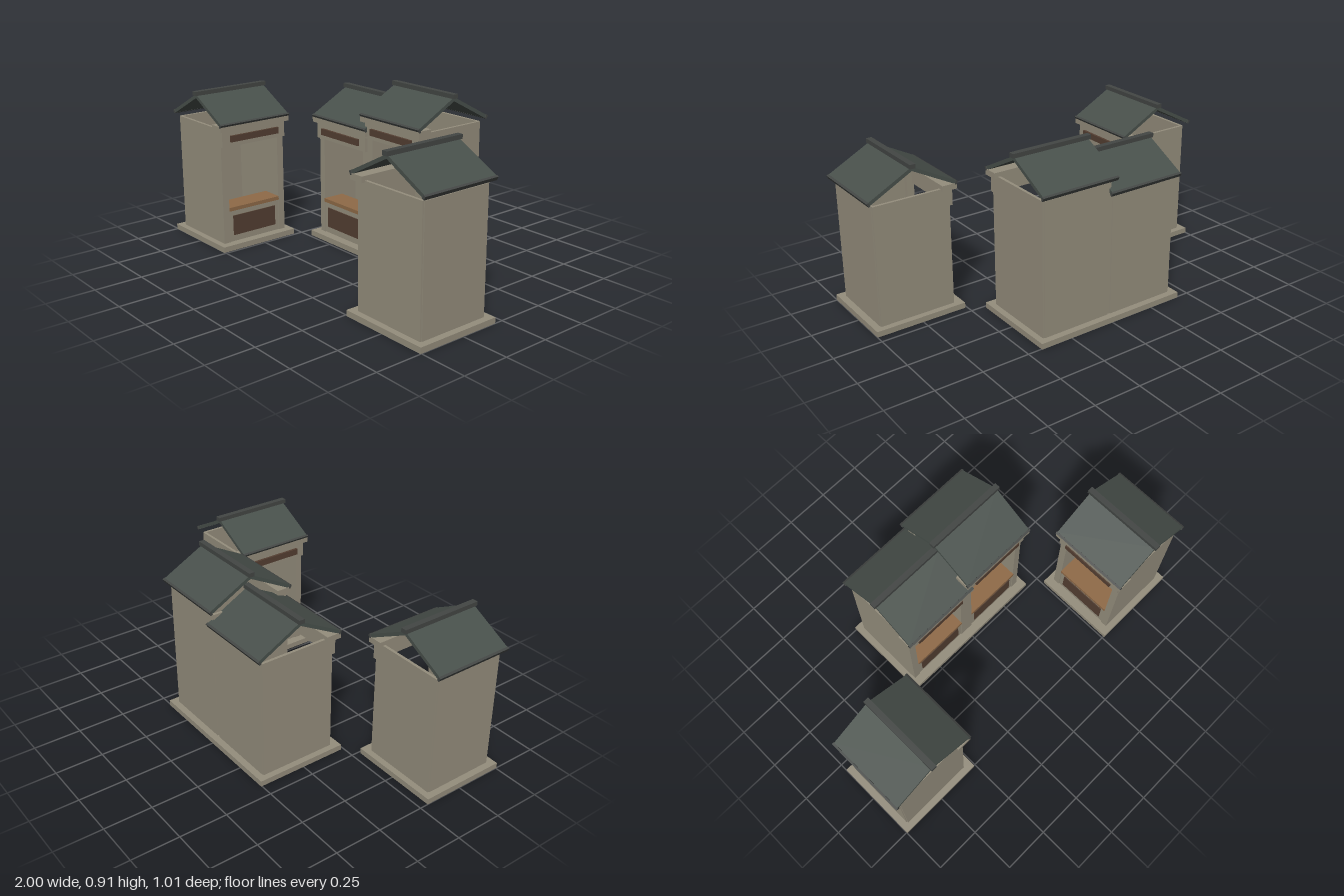
import * as THREE from 'three';

const mat = (name, color) => {
  const m = new THREE.MeshStandardMaterial({ color });
  m.name = name;
  return m;
};

export function createModel() {
  const stone = mat('stone', 0x958e7d);
  const slate = mat('slate', 0x48504b);
  const ridgeDark = mat('ridge dark', 0x434644);
  const wood = mat('wood', 0x8f6a47);
  const darkWood = mat('dark wood', 0x543f32);

  const model = new THREE.Group();
  model.name = 'marketStalls';

  // Box given by its width, centre x and its y and z ranges
  const box = (parent, name, material, w, x, [y0, y1], [z0, z1]) => {
    const mesh = new THREE.Mesh(new THREE.BoxGeometry(w, y1 - y0, z1 - z0), material);
    mesh.position.set(x, (y0 + y1) / 2, (z0 + z1) / 2);
    mesh.name = name;
    parent.add(mesh);
    return mesh;
  };

  // One stall facing +z, with its walls h high
  const stall = (h) => {
    const g = new THREE.Group();
    g.name = 'stall';
    const W = 0.395, B = 0.03;

    // Walls and front piers
    for (const s of [-1, 1]) {
      box(g, 'sideWall', stone, 0.015, s * (W / 2 - 0.0075), [B, h], [-0.205, 0.198]);
      box(g, 'frontPier', stone, 0.038, s * (W / 2 - 0.019), [B, h], [0.16, 0.2]);
    }
    box(g, 'backWall', stone, W - 0.016, 0, [B, h], [-0.21, -0.195]);

    // Counter with its front panel
    box(g, 'counterFront', stone, W - 0.076, 0, [B, 0.205], [0.172, 0.195]);
    box(g, 'counterPanel', darkWood, 0.27, 0, [0.065, 0.175], [0.193, 0.2]);
    box(g, 'counterTop', wood, W - 0.076, 0, [0.205, 0.225], [0.08, 0.204]);

    // Header, sign board and cornice
    box(g, 'header', stone, W, 0, [h - 0.095, h], [0.19, 0.217]);
    box(g, 'signBoard', darkWood, 0.3, 0, [h - 0.07, h - 0.036], [0.21, 0.23]);
    box(g, 'cornice', stone, 0.432, 0, [h - 0.008, h + 0.022], [0.155, 0.235]);

    // Open gable roof: two sloping panels with eave strips
    const run = 0.236, rise = 0.125, len = Math.hypot(run, rise);
    for (const s of [-1, 1]) {
      const slope = new THREE.Group();
      slope.name = 'roofSlope';
      slope.position.set(0, h + 0.146, 0);
      slope.rotation.y = s > 0 ? 0 : Math.PI;
      const tilt = new THREE.Group();
      tilt.name = 'roofTilt';
      tilt.rotation.x = Math.atan2(rise, run);
      slope.add(tilt);
      box(tilt, 'roofPanel', slate, 0.425, 0, [-0.009, 0.009], [0, len - 0.01]);
      box(tilt, 'eaveStrip', ridgeDark, 0.433, 0, [-0.01, 0.01], [len - 0.012, len]);
      g.add(slope);
    }
    box(g, 'ridgeCap', ridgeDark, 0.447, 0, [h + 0.15, h + 0.172], [-0.015, 0.015]);
    return g;
  };

  // Middle pair on a shared plinth
  const pair = new THREE.Group();
  pair.name = 'stallPair';
  pair.position.z = -0.26;
  box(pair, 'plinth', stone, 0.855, -0.0025, [0, 0.03], [-0.245, 0.245]);
  [[-0.2, 0.66], [0.195, 0.735]].forEach(([x, h]) => {
    const s = stall(h);
    s.position.x = x;
    pair.add(s);
  });
  model.add(pair);

  // Single stalls on both sides, facing inward
  for (const side of [-1, 1]) {
    const s = stall(0.66);
    box(s, 'plinth', stone, 0.46, 0, [0, 0.03], [-0.245, 0.245]);
    s.name = side > 0 ? 'leftStall' : 'rightStall';
    s.position.set(side * 0.755, 0, 0.275);
    s.rotation.y = -side * Math.PI / 2;
    model.add(s);
  }
  return model;
}
